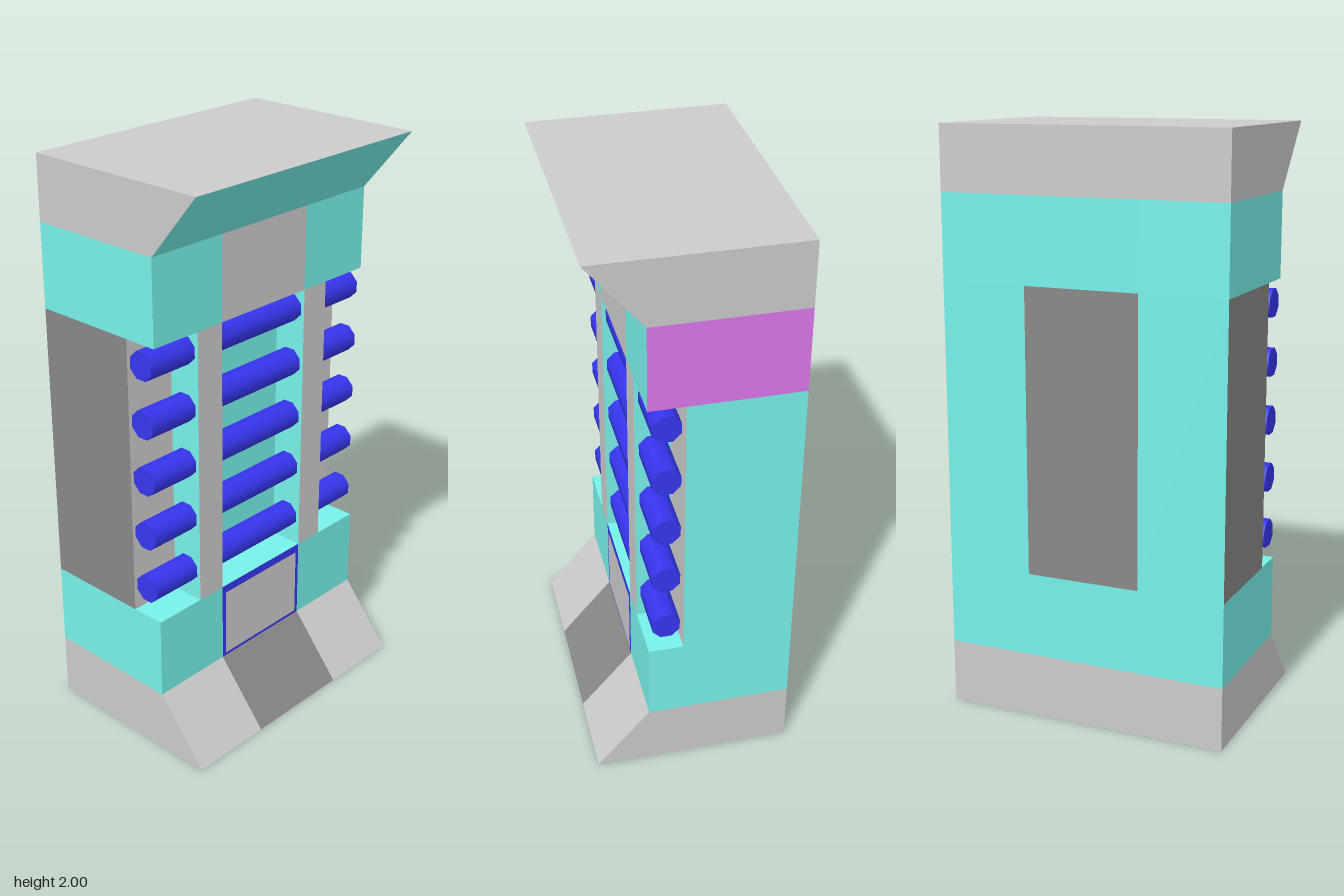
import * as THREE from 'three';

const paint = (color) => new THREE.MeshStandardMaterial({ color });

export function createModel() {
  const model = new THREE.Group();
  const grey = paint(0xcccccc), dark = paint(0x888888), teal = paint(0x77f1ea);
  const purple = paint(0xdc77ec), blue = paint(0x3636f0);
  const back = -0.34, front = 0.16, recess = 0.04, lip = 0.345;
  const sill = 0.51, lintel = 1.49, low = 0.22, high = 1.78;

  // Block between limits; zBottom and zTop give the front edge, paints override faces
  function block(name, [x0, x1], [y0, y1], z0, zBottom, zTop, base, paints = {}) {
    const geo = new THREE.BoxGeometry(1, 1, 1);
    const p = geo.attributes.position;
    for (let i = 0; i < p.count; i++) {
      const top = p.getY(i) > 0;
      const z = p.getZ(i) > 0 ? (top ? zTop : zBottom) : z0;
      p.setXYZ(i, p.getX(i) > 0 ? x1 : x0, top ? y1 : y0, z);
    }
    geo.computeVertexNormals();
    const faces = ['left', 'right', 'top', 'bottom', 'front', 'back'];
    const mesh = new THREE.Mesh(geo, faces.map((f) => paints[f] || base));
    mesh.name = name;
    model.add(mesh);
  }

  // The tower is three columns wide: right side, centre, left side
  const columns = [['right', -0.5, -0.2], ['centre', -0.2, 0.2], ['left', 0.2, 0.5]];
  for (const [side, a, b] of columns) {
    const x = [a, b], centre = side === 'centre';
    block(side + 'Base', x, [0, low], back, lip, front, grey, centre ? { front: dark } : {});
    block(side + 'LowerWall', x, [low, sill], back, front, front, teal, centre ? { front: blue } : {});
    const core = centre ? { back: dark } : { front: grey };
    if (side === 'right') core.right = dark;
    block(side + 'Core', x, [sill, lintel], back, recess, recess, teal, core);
    const upper = centre ? { front: grey } : {};
    if (side === 'left') upper.left = purple;
    block(side + 'UpperWall', x, [lintel, high], back, front, front, teal, upper);
  }

  // Flared cornice
  block('cornice', [-0.5, 0.5], [high, 2], back, front, lip, grey, { front: teal });

  // Upright posts that divide the recess into bays
  for (const s of [-1, 1]) {
    const x = [0.2 * s, 0.31 * s].sort((a, b) => a - b);
    block(s > 0 ? 'leftPost' : 'rightPost', x, [sill, lintel], recess, front, front, teal, { front: grey });
  }

  // Door panel inside its blue frame
  const door = new THREE.Mesh(new THREE.PlaneGeometry(0.37, 0.25), grey);
  door.name = 'doorPanel';
  door.position.set(0, 0.356, front + 0.001);
  model.add(door);

  // Five rows of round bars across the three bays
  const bars = new THREE.Group();
  bars.name = 'bars';
  for (let row = 0; row < 5; row++) {
    for (const [a, b] of [[-0.5, -0.31], [-0.2, 0.2], [0.31, 0.5]]) {
      const geo = new THREE.CylinderGeometry(0.05, 0.05, b - a, 8);
      geo.rotateY(Math.PI / 8).rotateZ(Math.PI / 2);
      const bar = new THREE.Mesh(geo, blue);
      bar.name = 'bar';
      bar.position.set((a + b) / 2, 0.616 + row * 0.2, 0.1);
      bars.add(bar);
    }
  }
  model.add(bars);
  return model;
}
